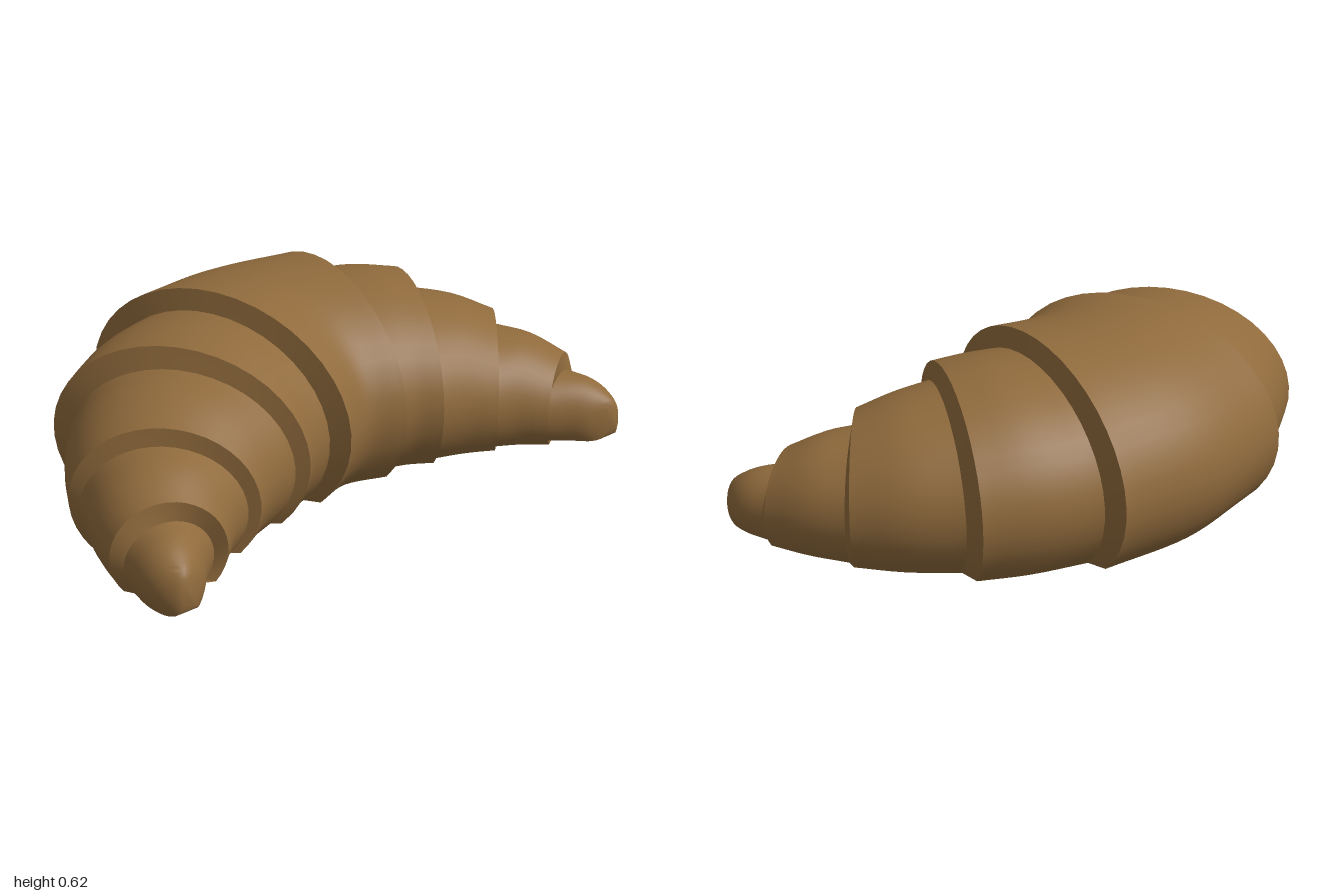
import * as THREE from 'three';
import { toCreasedNormals } from 'three/addons/utils/BufferGeometryUtils.js';

// Section: [backX, backZ, frontX, frontZ, height, lift]. Each is an ellipse cut flat at the base.
const ARC = 30;
const CUT = Math.asin(0.385 / 0.615);

const middleLip = [0.35, -0.58, 0.12, 0.43, 0.62, 0];
const middleCrown = [0, -0.625, 0, 0.385, 0.618, 0];

// Layers of one side, from the middle outwards: start, belly, lip
const sideLayers = {
  InnerLayer: [
    [0.36, -0.5, 0.15, 0.365, 0.555, 0],
    [0.55, -0.42, 0.22, 0.385, 0.558, 0],
    [0.7, -0.33, 0.29, 0.43, 0.54, 0],
  ],
  MiddleLayer: [
    [0.695, -0.25, 0.32, 0.395, 0.475, 0],
    [0.82, -0.11, 0.42, 0.42, 0.45, 0],
    [0.912, 0.035, 0.515, 0.46, 0.4, 0],
  ],
  OuterLayer: [
    [0.9, 0.075, 0.54, 0.43, 0.345, 0],
    [0.96, 0.21, 0.61, 0.46, 0.325, 0],
    [1.0, 0.35, 0.695, 0.52, 0.27, 0],
  ],
  Tip: [
    [0.98, 0.39, 0.72, 0.485, 0.21, 0],
    [0.995, 0.49, 0.78, 0.53, 0.195, 0],
    [0.985, 0.56, 0.83, 0.575, 0.165, 0],
    [0.96, 0.603, 0.875, 0.602, 0.125, 0.012],
    [0.92, 0.62, 0.92, 0.62, 0, 0.07],
  ],
};

const mirror = (s) => [-s[0], s[1], -s[2], s[3], s[4], s[5]];

// Smooth in-between sections through the given ones
function refine(sections, steps = 4) {
  const back = new THREE.CatmullRomCurve3(sections.map((s) => new THREE.Vector3(s[0], s[4], s[1])));
  const front = new THREE.CatmullRomCurve3(sections.map((s) => new THREE.Vector3(s[2], s[5], s[3])));
  const n = (sections.length - 1) * steps;
  return Array.from({ length: n + 1 }, (_, i) => {
    const b = back.getPoint(i / n), f = front.getPoint(i / n);
    return [b.x, b.z, f.x, f.z, b.y, Math.max(0, f.y)];
  });
}

// Skin through section loops, ordered by rising x
function skin(sections) {
  const pos = [], index = [];
  const ring = ARC + 1;
  for (const [bx, bz, fx, fz, h, lift] of sections) {
    for (let j = 0; j <= ARC; j++) {
      const t = -CUT + (j / ARC) * (Math.PI + 2 * CUT);
      const c = Math.cos(t) / 2;
      pos.push(
        (bx + fx) / 2 + (fx - bx) * c,
        lift + h * (0.385 + 0.615 * Math.sin(t)),
        (bz + fz) / 2 + (fz - bz) * c
      );
    }
  }
  for (let i = 0; i < sections.length - 1; i++) {
    for (let j = 0; j < ring; j++) {
      const k = (j + 1) % ring;
      const a = i * ring + j, b = a + ring;
      const d = i * ring + k, e = d + ring;
      index.push(a, b, e, a, e, d);
    }
  }
  const geo = new THREE.BufferGeometry();
  geo.setAttribute('position', new THREE.Float32BufferAttribute(pos, 3));
  geo.setIndex(index);
  return toCreasedNormals(geo, 0.6);
}

export function createModel() {
  const group = new THREE.Group();
  group.name = 'croissant';
  const crust = new THREE.MeshStandardMaterial({ color: 0x8f6a3c });
  crust.name = 'bakedCrust';

  const add = (name, sections) => {
    const mesh = new THREE.Mesh(skin(sections), crust);
    mesh.name = name;
    group.add(mesh);
  };

  // Wide middle band with a lip stepping down on both sides
  const firstStart = sideLayers.InnerLayer[0];
  add('middleBand', [
    mirror(firstStart),
    ...refine([mirror(middleLip), middleCrown, middleLip], 6),
    firstStart,
  ]);

  // Side layers, each ending in a lip that steps down to the next
  const names = Object.keys(sideLayers);
  names.forEach((name, i) => {
    const rows = refine(sideLayers[name]);
    const next = sideLayers[names[i + 1]];
    if (next) rows.push(next[0]);
    add('left' + name, rows);
    add('right' + name, rows.map(mirror).reverse());
  });

  return group;
}
